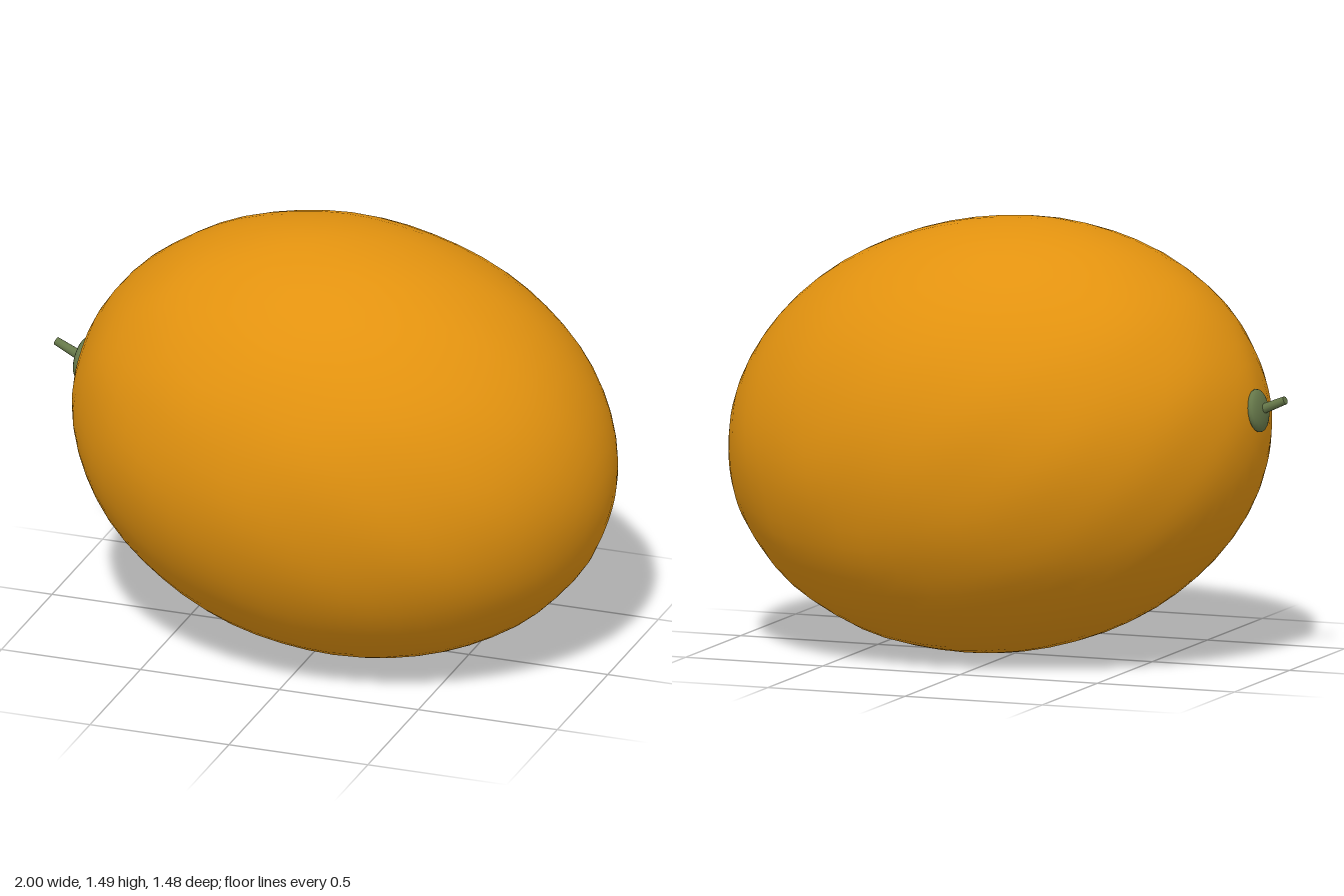
import * as THREE from 'three';
import { mergeVertices } from 'three/addons/utils/BufferGeometryUtils.js';

const TILT = 0.16; // long axis dips toward +x

// Sphere stretched to the given radii, with faint lumps, smooth and seamless
function lumpySpheroid(rx, ry, rz, lump, segments) {
  let geo = new THREE.SphereGeometry(1, segments, segments / 2);
  geo.rotateZ(Math.PI / 2); // poles on the long axis
  geo.deleteAttribute('uv');
  geo.deleteAttribute('normal');
  geo = mergeVertices(geo, 1e-5);
  const pos = geo.attributes.position;
  const v = new THREE.Vector3();
  for (let i = 0; i < pos.count; i++) {
    v.fromBufferAttribute(pos, i);
    const n = Math.sin(9 * v.x + 4 * v.y) * Math.sin(8 * v.y - 5 * v.z + 1) * Math.sin(9 * v.z + 3 * v.x + 2);
    v.multiplyScalar(1 + lump * n);
    pos.setXYZ(i, v.x * rx, v.y * ry, v.z * rz);
  }
  geo.computeVertexNormals();
  return geo;
}

export function createModel() {
  const orange = new THREE.MeshStandardMaterial({ color: 0xe2920f });
  orange.name = 'orange rind';
  const green = new THREE.MeshStandardMaterial({ color: 0x66784a });
  green.name = 'green stem';

  const model = new THREE.Group();
  model.name = 'fruit';

  // Tilted egg-like body
  const body = new THREE.Mesh(lumpySpheroid(0.95, 0.74, 0.74, 0.004, 64), orange);
  body.name = 'body';
  body.position.set(0.055, 0.745, 0);
  body.rotation.z = -TILT;
  model.add(body);

  // Lens-shaped cap at the stem end
  const cap = new THREE.Mesh(lumpySpheroid(0.026, 0.074, 0.074, 0, 24), green);
  cap.name = 'cap';
  cap.position.set(-0.89, 0.883, -0.01);
  cap.rotation.z = -TILT;
  model.add(cap);

  // Short stalk leaning up from the cap
  const base = new THREE.Vector3(-0.88, 0.878, -0.008);
  const tip = new THREE.Vector3(-0.993, 0.926, -0.02);
  const stem = new THREE.Mesh(new THREE.CylinderGeometry(0.014, 0.018, base.distanceTo(tip), 12), green);
  stem.name = 'stem';
  stem.position.copy(base).lerp(tip, 0.5);
  stem.quaternion.setFromUnitVectors(new THREE.Vector3(0, 1, 0), tip.clone().sub(base).normalize());
  model.add(stem);

  return model;
}
